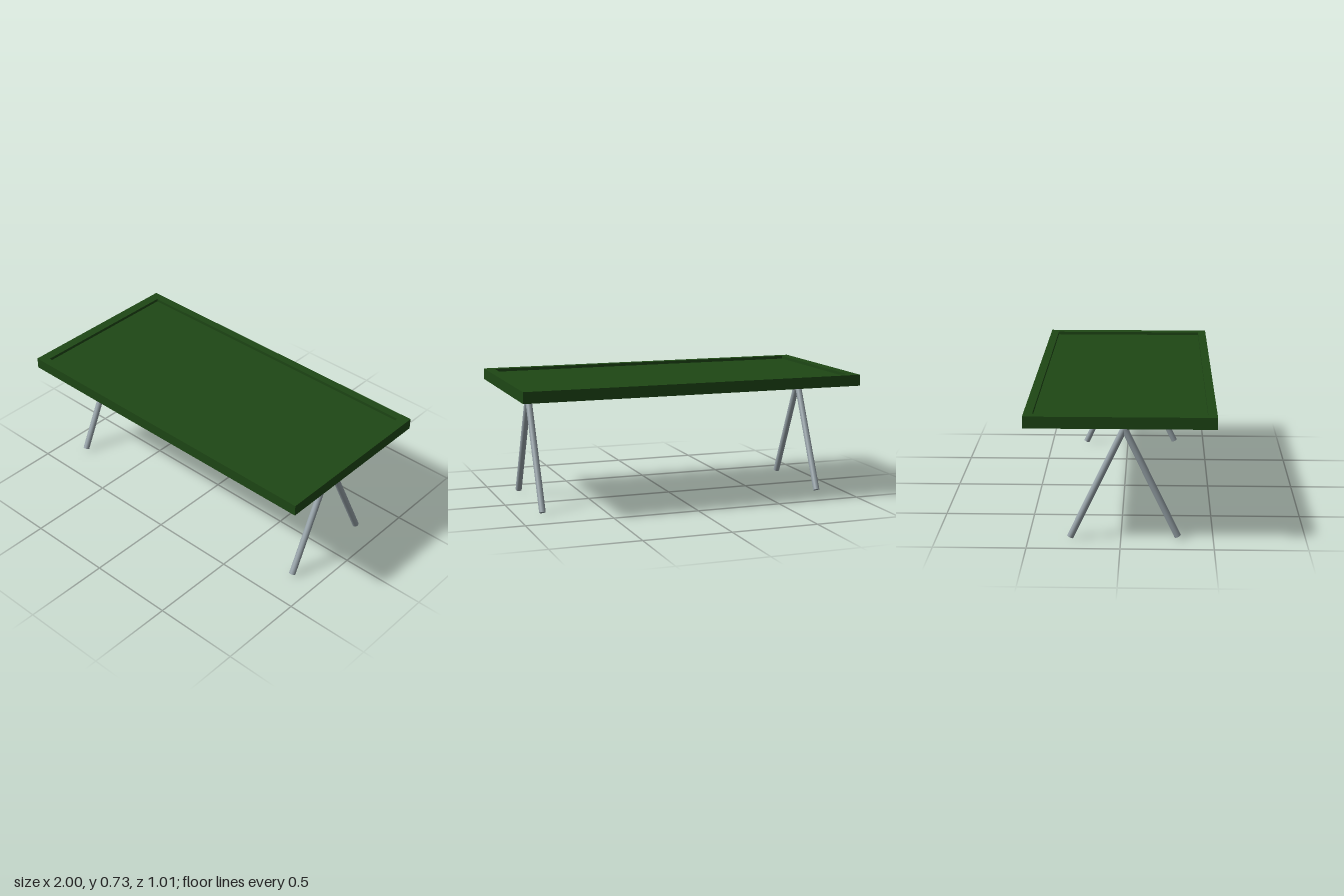
import * as THREE from 'three';

const green = new THREE.MeshStandardMaterial({ color: 0x1e4715 });
const steel = new THREE.MeshStandardMaterial({ color: 0x98a4aa });
const TUBE_RADIUS = 0.0185;

function rectangle(target, halfX, halfZ) {
  target.moveTo(-halfX, -halfZ);
  target.lineTo(halfX, -halfZ);
  target.lineTo(halfX, halfZ);
  target.lineTo(-halfX, halfZ);
  target.closePath();
  return target;
}

// Capped round tube between two points
function tube(name, from, to) {
  const dir = to.clone().sub(from);
  const mesh = new THREE.Mesh(
    new THREE.CylinderGeometry(TUBE_RADIUS, TUBE_RADIUS, dir.length(), 32), steel);
  mesh.position.copy(from).add(to).multiplyScalar(0.5);
  mesh.quaternion.setFromUnitVectors(new THREE.Vector3(0, 1, 0), dir.normalize());
  mesh.name = name;
  return mesh;
}

export function createModel() {
  const table = new THREE.Group();
  table.name = 'table';

  // Raised rim around the table top
  const outline = rectangle(new THREE.Shape(), 1, 0.505);
  outline.holes.push(rectangle(new THREE.Path(), 0.943, 0.457));
  const rimGeometry = new THREE.ExtrudeGeometry(outline, { depth: 0.064, bevelEnabled: false });
  rimGeometry.rotateX(-Math.PI / 2);
  const rim = new THREE.Mesh(rimGeometry, green);
  rim.position.y = 0.667;
  rim.name = 'tableRim';
  table.add(rim);

  // Panel set slightly below the rim, top and bottom
  const panel = new THREE.Mesh(new THREE.BoxGeometry(1.886, 0.04, 0.914), green);
  panel.position.y = 0.694;
  panel.name = 'tablePanel';
  table.add(panel);

  // Crossed pair of legs at each end
  for (const [side, x] of [['left', 0.848], ['right', -0.848]]) {
    const trestle = new THREE.Group();
    trestle.name = side + 'Trestle';
    trestle.add(
      tube('frontLeg', new THREE.Vector3(x, 0.017, 0.308), new THREE.Vector3(x, 0.672, -0.003)),
      tube('backLeg', new THREE.Vector3(x, 0.009, -0.274), new THREE.Vector3(x, 0.672, 0.041)));
    table.add(trestle);
  }

  // Long bar joining the two trestles
  table.add(tube('crossBar', new THREE.Vector3(-0.848, 0.648, 0.019), new THREE.Vector3(0.848, 0.648, 0.019)));

  return table;
}
